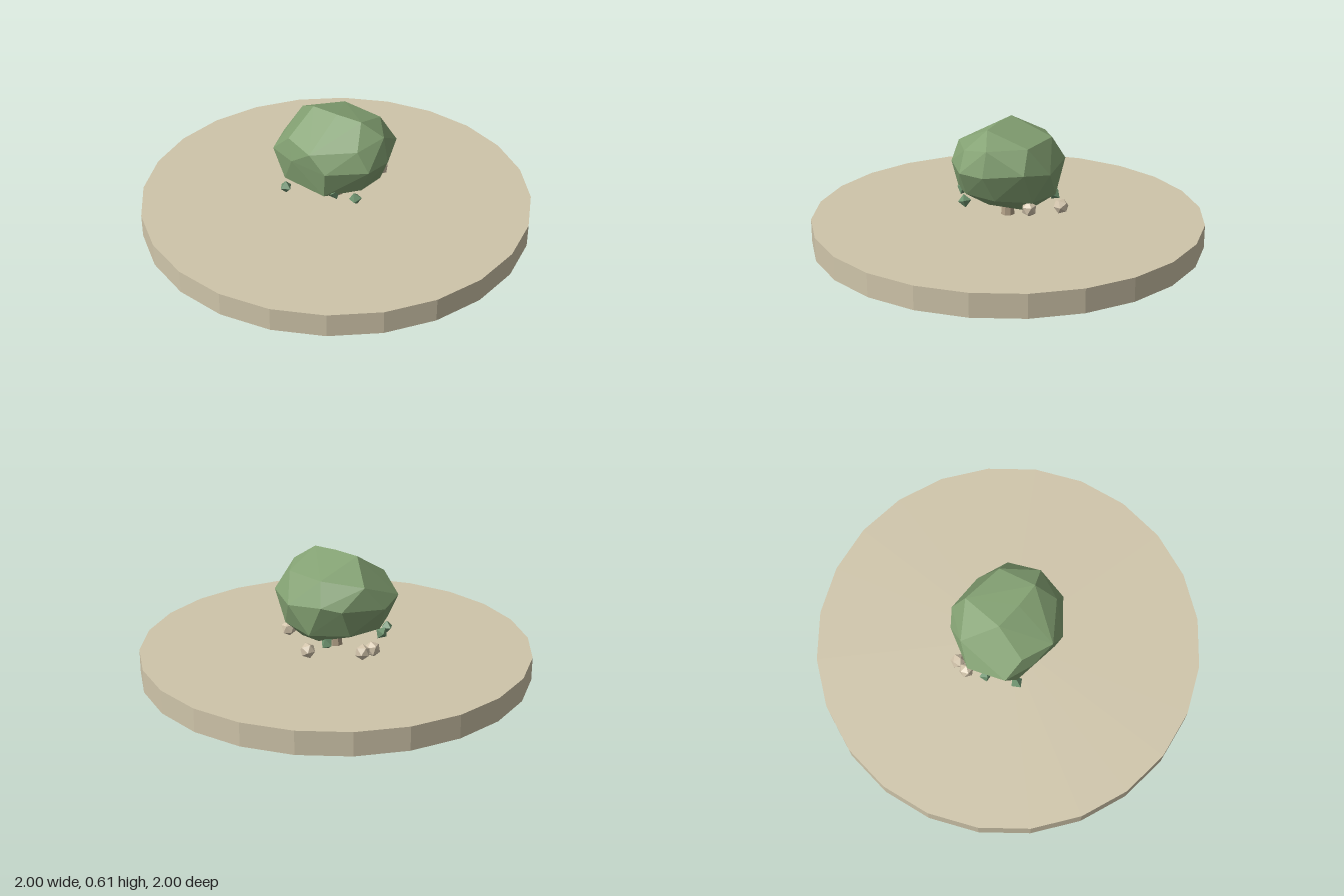
import * as THREE from 'three';
import { ConvexGeometry } from 'three/addons/geometries/ConvexGeometry.js';

const material = (name, color) => {
  const m = new THREE.MeshStandardMaterial({ color, flatShading: true });
  m.name = name;
  return m;
};

export function createModel() {
  const group = new THREE.Group();
  const sand = material('sand', 0xcfc5aa);
  const foliage = material('foliage green', 0x84a273);
  const leaf = material('leaf green', 0x6f9470);
  const bark = material('bark', 0xb3a288);
  const berry = material('berry cream', 0xd3c5ac);

  const add = (name, geometry, mat, x = 0, y = 0, z = 0) => {
    const mesh = new THREE.Mesh(geometry, mat);
    mesh.name = name;
    mesh.position.set(x, y, z);
    group.add(mesh);
    return mesh;
  };

  // Round base and short trunk
  add('base', new THREE.CylinderGeometry(1, 1, 0.12, 24), sand, 0, 0.06, 0);
  add('trunk', new THREE.CylinderGeometry(0.025, 0.035, 0.16, 7), bark, 0, 0.2, 0);

  // Faceted crown, as a hull around irregular rings from top to bottom
  const rings = [
    [[-0.1, 0.61, 0.06], [0.04, 0.61, 0.03], [0.17, 0.605, -0.01]],
    [[-0.13, 0.535, -0.18], [0.1, 0.53, -0.21], [0.26, 0.53, -0.08], [0.24, 0.5, 0.08],
      [0.085, 0.487, 0.255], [-0.09, 0.5, 0.235], [-0.275, 0.51, -0.02]],
    [[-0.31, 0.39, 0.08], [-0.255, 0.4, -0.14], [-0.19, 0.42, -0.22], [0.01, 0.39, -0.28],
      [0.18, 0.42, -0.25], [0.29, 0.4, -0.08], [0.3, 0.4, 0.06], [0.17, 0.4, 0.23],
      [-0.04, 0.4, 0.262], [-0.2, 0.4, 0.245]],
    [[-0.12, 0.257, 0.24], [0.14, 0.257, 0.21], [0.25, 0.28, 0.06], [0.22, 0.27, -0.1],
      [0.1, 0.26, -0.24], [-0.1, 0.25, -0.23], [-0.24, 0.26, -0.08], [-0.24, 0.26, 0.1]],
    [[0, 0.165, 0.08], [0.15, 0.21, 0], [-0.1, 0.185, 0.02], [0.05, 0.19, -0.17], [-0.08, 0.2, -0.16]],
  ];
  add('crown', new ConvexGeometry(rings.flat().map((p) => new THREE.Vector3(...p))), foliage);

  // Berries hanging at the back and side
  const berryShape = new THREE.IcosahedronGeometry(0.04);
  [[-0.12, 0.185, -0.25], [-0.29, 0.185, -0.04], [-0.285, 0.185, 0.025], [0.1, 0.225, -0.22]]
    .forEach((p, i) => add(`berry${i + 1}`, berryShape, berry, ...p).rotation.set(i * 0.7, i, 0));

  // Small loose leaves under the crown
  const leafShape = new THREE.OctahedronGeometry(0.034);
  [[-0.12, 0.2, 0.235], [0.235, 0.235, 0.085], [-0.23, 0.23, 0.12], [-0.17, 0.22, -0.17], [0.16, 0.265, 0.16]]
    .forEach((p, i) => add(`leaf${i + 1}`, leafShape, leaf, ...p).rotation.set(0.2 * i, 0.6 * i, 0.15 * i));

  return group;
}
